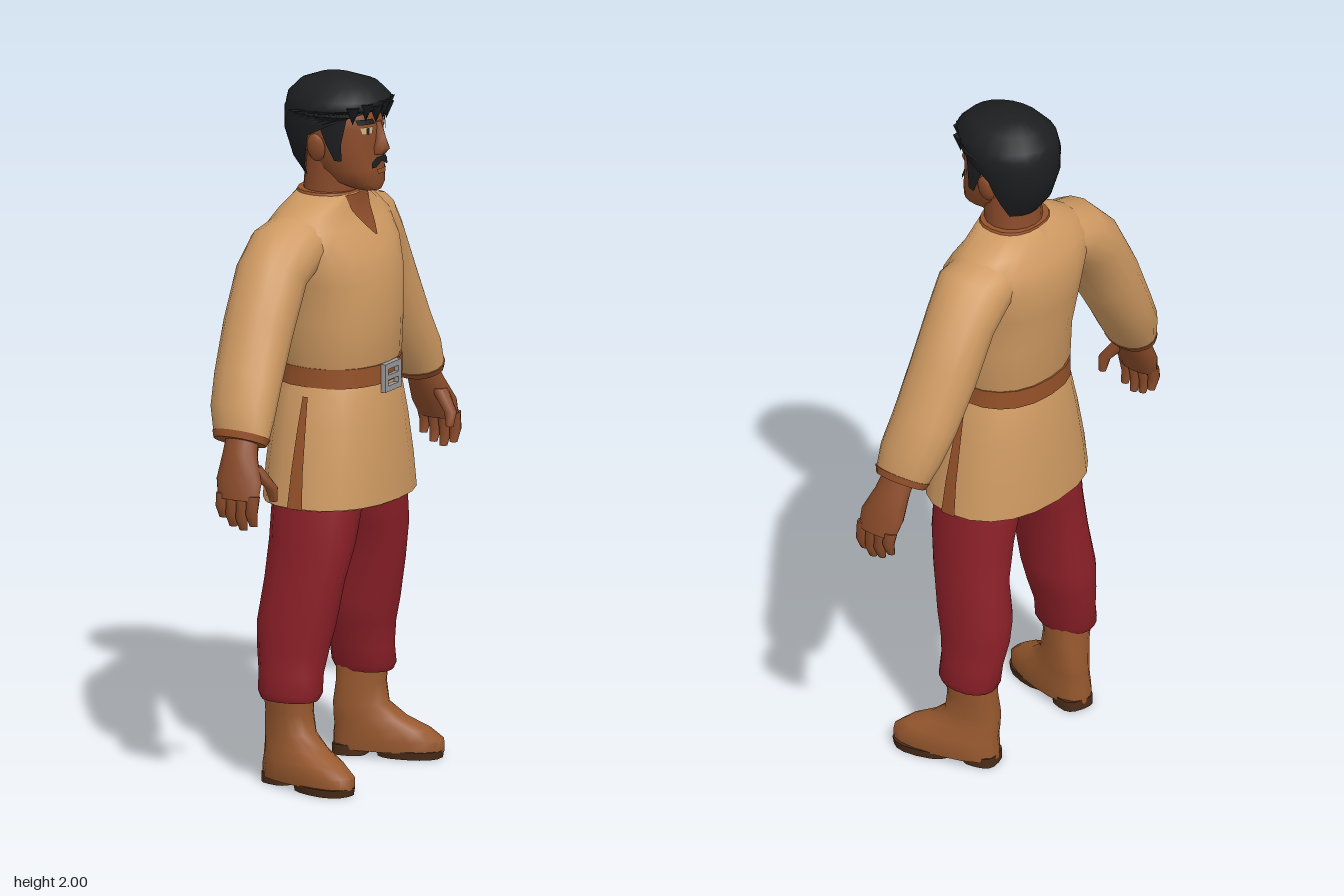
import * as THREE from 'three';
import { toCreasedNormals } from 'three/addons/utils/BufferGeometryUtils.js';

const paint = (name, color, open) => {
  const m = new THREE.MeshStandardMaterial({ color });
  m.name = name;
  if (open) m.side = THREE.DoubleSide;
  return m;
};
const FRONT = Math.PI / 2;
const bend = (v, n) => Math.sign(v) * Math.abs(v) ** (2 / n);

// Point on a ring [x, y, z, halfWidth, halfDepth, tilt] at angle a; n squares the ring off
function ringPoint([x, y, z, rx, rz, t = 0], a, n, off = 0) {
  const u = bend(Math.cos(a), n) * (rx + off);
  return [x + u * Math.cos(t), y + u * Math.sin(t), z + bend(Math.sin(a), n) * (rz + off)];
}

// Interpolated ring at height y
function ringAt(rows, y) {
  let i = 0;
  while (i < rows.length - 2 && rows[i + 1][1] < y) i++;
  const k = (y - rows[i][1]) / (rows[i + 1][1] - rows[i][1]);
  return rows[i].map((v, j) => v + (rows[i + 1][j] - v) * k);
}

function gridGeometry(points, cols, index, s, crease) {
  if (s < 0) {
    points.forEach(p => { p[0] = -p[0]; });
    for (let i = 0; i < index.length; i += 3) [index[i], index[i + 1]] = [index[i + 1], index[i]];
  }
  const g = new THREE.BufferGeometry();
  g.setAttribute('position', new THREE.Float32BufferAttribute(points.flat(), 3));
  g.setIndex(index);
  return toCreasedNormals(g, crease);
}

// Closed skin through rings listed from bottom to top
function loft(rows, { sides = 16, n = 2, s = 1, crease = 1 } = {}) {
  const points = [], index = [];
  rows.forEach(r => {
    for (let j = 0; j < sides; j++) points.push(ringPoint(r, j / sides * Math.PI * 2, n));
  });
  for (let i = 0; i < rows.length - 1; i++) for (let j = 0; j < sides; j++) {
    const a = i * sides + j, b = i * sides + (j + 1) % sides, c = a + sides, d = b + sides;
    index.push(a, c, b, b, c, d);
  }
  const low = points.length, top = (rows.length - 1) * sides;
  points.push(rows[0].slice(0, 3), rows[rows.length - 1].slice(0, 3));
  for (let j = 0; j < sides; j++) {
    const k = (j + 1) % sides;
    index.push(low, j, k, low + 1, top + k, top + j);
  }
  return gridGeometry(points, sides, index, s, crease);
}

// Thin patch lying on a skin; spans are [y, startAngle, endAngle]
function patch(rows, spans, { n = 2, s = 1, off = 0.005, cols = 8 } = {}) {
  const points = [], index = [];
  spans.forEach(([y, a0, a1], i) => {
    const ring = ringAt(rows, y);
    for (let j = 0; j <= cols; j++) points.push(ringPoint(ring, a0 + (a1 - a0) * j / cols, n, off));
    if (i) for (let j = 0; j < cols; j++) {
      const c = i * (cols + 1) + j, a = c - cols - 1;
      index.push(a, c, a + 1, a + 1, c, c + 1);
    }
  });
  return gridGeometry(points, cols, index, s, 1);
}

export function createModel() {
  const skin = paint('skin', 0x8a4b2a), cloth = paint('tan cloth', 0xcf9a62);
  const red = paint('red cloth', 0x8c2028), leather = paint('boot leather', 0x98592f);
  const trim = paint('brown trim', 0x96522a, true), hair = paint('black hair', 0x1d1e20, true);
  const metal = paint('buckle metal', 0x9a9a9a), cream = paint('eye cream', 0xd8b080, true);
  const sole = paint('dark sole', 0x4a2c18);

  const model = new THREE.Group();
  const body = new THREE.Group();
  body.name = 'man';
  body.rotation.y = Math.PI / 2;
  model.add(body);
  const add = (name, geo, mat, parent = body) => {
    const m = new THREE.Mesh(geo, mat);
    m.name = name;
    parent.add(m);
    return m;
  };

  // Tunic
  const chest = [
    [0, 1.16, 0, 0.17, 0.148], [0, 1.2, 0, 0.185, 0.16], [0, 1.31, 0, 0.188, 0.165],
    [0, 1.43, -0.012, 0.205, 0.174], [0, 1.52, -0.028, 0.235, 0.162], [0, 1.58, -0.04, 0.24, 0.132],
    [0, 1.62, -0.04, 0.2, 0.105], [0, 1.665, -0.028, 0.105, 0.088]];
  const skirt = [
    [0, 0.8, 0, 0.252, 0.188], [0, 0.9, 0, 0.238, 0.182], [0, 1.02, 0, 0.212, 0.172],
    [0, 1.11, 0, 0.19, 0.16], [0, 1.16, 0, 0.17, 0.148]];
  add('tunicTop', loft(chest, { n: 2.3, sides: 20 }), cloth);
  add('tunicSkirt', loft(skirt, { n: 2.3, sides: 20 }), cloth);
  add('skirtLining', loft([[0, 0.796, 0, 0.246, 0.182], [0, 0.82, 0, 0.24, 0.176]], { n: 2.3, sides: 20 }), trim);
  add('neckOpening', patch(chest, [[1.55, FRONT - 0.01, FRONT + 0.01], [1.58, FRONT - 0.08, FRONT + 0.08],
    [1.62, FRONT - 0.2, FRONT + 0.2], [1.665, FRONT - 0.55, FRONT + 0.55]], { n: 2.3 }), skin);
  add('collarEdge', loft([[0, 1.655, -0.028, 0.108, 0.09], [0, 1.672, -0.028, 0.1, 0.086]], { n: 2.3, sides: 20 }), trim);

  // Belt and buckle
  add('belt', loft([[0, 1.135, 0, 0.184, 0.162], [0, 1.19, 0, 0.183, 0.162]], { n: 2.3, sides: 20, crease: 0.6 }), trim);
  const frame = new THREE.Shape();
  frame.moveTo(-0.045, -0.04).lineTo(0.045, -0.04).lineTo(0.045, 0.04).lineTo(-0.045, 0.04);
  const hole = new THREE.Path();
  hole.moveTo(-0.028, -0.024).lineTo(-0.028, 0.024).lineTo(0.028, 0.024).lineTo(0.028, -0.024);
  frame.holes.push(hole);
  add('buckleFrame', new THREE.ExtrudeGeometry(frame, { depth: 0.015, bevelEnabled: false }), metal).position.set(0, 1.15, 0.157);
  add('bucklePin', new THREE.BoxGeometry(0.06, 0.014, 0.012), metal).position.set(0, 1.15, 0.166);

  // Head and neck
  const head = [
    [0, 1.68, 0.088, 0.035, 0.04], [0, 1.7, 0.06, 0.064, 0.075], [0, 1.74, 0.035, 0.085, 0.096],
    [0, 1.8, 0.008, 0.096, 0.116], [0, 1.86, 0, 0.101, 0.127], [0, 1.92, -0.01, 0.1, 0.125], [0, 1.96, -0.01, 0.07, 0.09]];
  add('neck', loft([[0, 1.56, -0.03, 0.085, 0.09], [0, 1.66, -0.025, 0.085, 0.08], [0, 1.78, -0.015, 0.08, 0.08]]), skin);
  add('head', loft(head, { n: 2.2, sides: 20 }), skin);
  add('nose', loft([[0, 1.782, 0.122, 0.02, 0.022], [0, 1.8, 0.128, 0.022, 0.032],
    [0, 1.83, 0.126, 0.013, 0.022], [0, 1.875, 0.118, 0.012, 0.014]], { sides: 8 }), skin);
  add('lips', patch(head, [[1.728, FRONT - 0.2, FRONT + 0.2], [1.742, FRONT - 0.25, FRONT + 0.25]], { n: 2.2 }), trim);

  // Hair shell, open around the face
  const scalp = [
    [0, 1.7, -0.02, 0.08, 0.07], [0, 1.76, -0.03, 0.1, 0.105], [0, 1.84, -0.03, 0.122, 0.13],
    [0, 1.9, -0.01, 0.132, 0.15], [0, 1.94, 0, 0.126, 0.15], [0, 1.975, 0, 0.092, 0.115], [0, 1.995, -0.01, 0.04, 0.05],
    [0, 2, -0.01, 0.001, 0.001]];
  const hairline = [[1.7, 2.3], [1.76, 1.85], [1.8, 1.7], [1.84, 1.6], [1.875, 1.2], [1.9, 0.8], [1.915, 0],
    [1.94, 0], [1.975, 0], [1.995, 0], [2, 0]];
  add('hair', patch(scalp, hairline.map(([y, w]) => [y, FRONT + w, FRONT + Math.PI * 2 - w]), { off: 0, cols: 22 }), hair);
  for (let i = -3; i <= 3; i++) {
    const tuft = add('fringeTuft', new THREE.ConeGeometry(0.022, 0.05, 5), hair);
    tuft.position.set(i * 0.03, 1.91 - (i % 2 ? 0.008 : 0), 0.137 - i * i * 0.005);
    tuft.rotation.x = Math.PI;
  }

  for (const s of [1, -1]) {
    const side = s > 0 ? 'left' : 'right';
    const part = (name) => {
      const g = new THREE.Group();
      g.name = side + name;
      body.add(g);
      return g;
    };

    // Face details
    const face = part('FaceDetails');
    const onFace = (name, mat, spans, off) => add(name, patch(head, spans, { n: 2.2, s, off }), mat, face);
    onFace('eye', cream, [[1.845, 0.95, 1.25], [1.866, 0.9, 1.3]], 0.004);
    onFace('pupil', hair, [[1.846, 1.06, 1.15], [1.864, 1.06, 1.15]], 0.006);
    onFace('eyebrow', hair, [[1.873, 0.85, 1.38], [1.888, 0.8, 1.3]], 0.005);
    onFace('moustache', hair, [[1.748, 1.12, 1.28], [1.762, 1.15, FRONT], [1.776, 1.36, FRONT]], 0.007);
    onFace('sideburn', hair, [[1.77, 0.12, 0.3], [1.82, 0.05, 0.4], [1.91, -0.1, 0.65]], 0.008);
    const ear = add('ear', new THREE.SphereGeometry(1, 10, 8), skin, face);
    ear.scale.set(0.016, 0.042, 0.028);
    ear.position.set(s * 0.108, 1.805, -0.015);
    ear.rotation.z = -s * 0.2;

    // Slit trim down the side of the skirt
    add(side + 'SkirtSlit', patch(skirt, [0.8, 0.9, 1.02, 1.11].map((y, i) => [y, -0.09 + i * 0.02, 0.09 - i * 0.02]),
      { n: 2.3, s }), trim);

    // Sleeve, cuff and hand
    const arm = part('Arm');
    add('sleeve', loft([
      [0.495, 1.055, -0.035, 0.056, 0.084, 0.48], [0.468, 1.12, -0.045, 0.074, 0.096, 0.48],
      [0.42, 1.205, -0.055, 0.08, 0.1, 0.5], [0.35, 1.335, -0.062, 0.092, 0.102, 0.6],
      [0.275, 1.47, -0.062, 0.092, 0.104, 0.62], [0.2, 1.535, -0.05, 0.1, 0.112, 0.75],
      [0.12, 1.56, -0.045, 0.08, 0.1, 1]], { s }), cloth, arm);
    add('cuff', loft([[0.502, 1.042, -0.035, 0.054, 0.08, 0.48], [0.493, 1.06, -0.035, 0.06, 0.088, 0.48]], { s }), trim, arm);
    add('palm', loft([
      [0.567, 0.895, -0.004, 0.026, 0.064, 0.15], [0.55, 0.945, -0.01, 0.034, 0.072, 0.3],
      [0.522, 1.01, -0.022, 0.036, 0.054, 0.4], [0.488, 1.08, -0.03, 0.036, 0.046, 0.45]], { s, sides: 12 }), skin, arm);
    for (let i = 0; i < 4; i++) {
      const z = -0.052 + i * 0.032, tip = 0.81 + [0.03, 0.008, 0, 0.014][i];
      add('finger', loft([[0.564, tip, z, 0.01, 0.012], [0.575, tip + 0.035, z, 0.016, 0.018],
        [0.566, 0.91, z, 0.02, 0.02, 0.1]], { s, sides: 8 }), skin, arm);
    }
    add('thumb', loft([[0.497, 0.885, 0.07, 0.01, 0.012], [0.505, 0.925, 0.068, 0.017, 0.019],
      [0.525, 0.985, 0.02, 0.022, 0.026]], { s, sides: 8 }), skin, arm);

    // Trouser leg
    add(side + 'TrouserLeg', loft([
      [0.21, 0.245, -0.04, 0.063, 0.084], [0.208, 0.265, -0.04, 0.072, 0.093], [0.2, 0.32, -0.042, 0.068, 0.095],
      [0.187, 0.39, -0.042, 0.08, 0.105], [0.18, 0.46, -0.035, 0.086, 0.115], [0.172, 0.58, -0.015, 0.08, 0.118],
      [0.15, 0.69, -0.002, 0.092, 0.126], [0.118, 0.83, 0, 0.114, 0.13], [0.1, 0.98, 0, 0.1, 0.12]], { s, n: 2.2 }), red);

    // Boot, toes turned outward
    const boot = part('Boot');
    boot.position.set(s * 0.2, 0, -0.04);
    boot.rotation.y = s * 0.25;
    add('bootUpper', loft([
      [0.008, 0.018, 0.073, 0.064, 0.16], [0.008, 0.05, 0.073, 0.068, 0.16], [0.006, 0.08, 0.055, 0.064, 0.138],
      [0.002, 0.11, 0.022, 0.058, 0.106], [0, 0.15, -0.004, 0.055, 0.08], [0.004, 0.21, -0.005, 0.056, 0.071],
      [0.008, 0.275, -0.002, 0.06, 0.075]], { s, n: 2.4 }), leather, boot);
    add('frontSole', loft([[0.01, 0, 0.135, 0.062, 0.093], [0.01, 0.022, 0.135, 0.065, 0.097]], { s, n: 2.4 }), sole, boot);
    add('heel', loft([[0.004, 0, -0.035, 0.05, 0.05], [0.004, 0.03, -0.035, 0.05, 0.05]], { s, n: 3 }), sole, boot);
  }
  return model;
}
